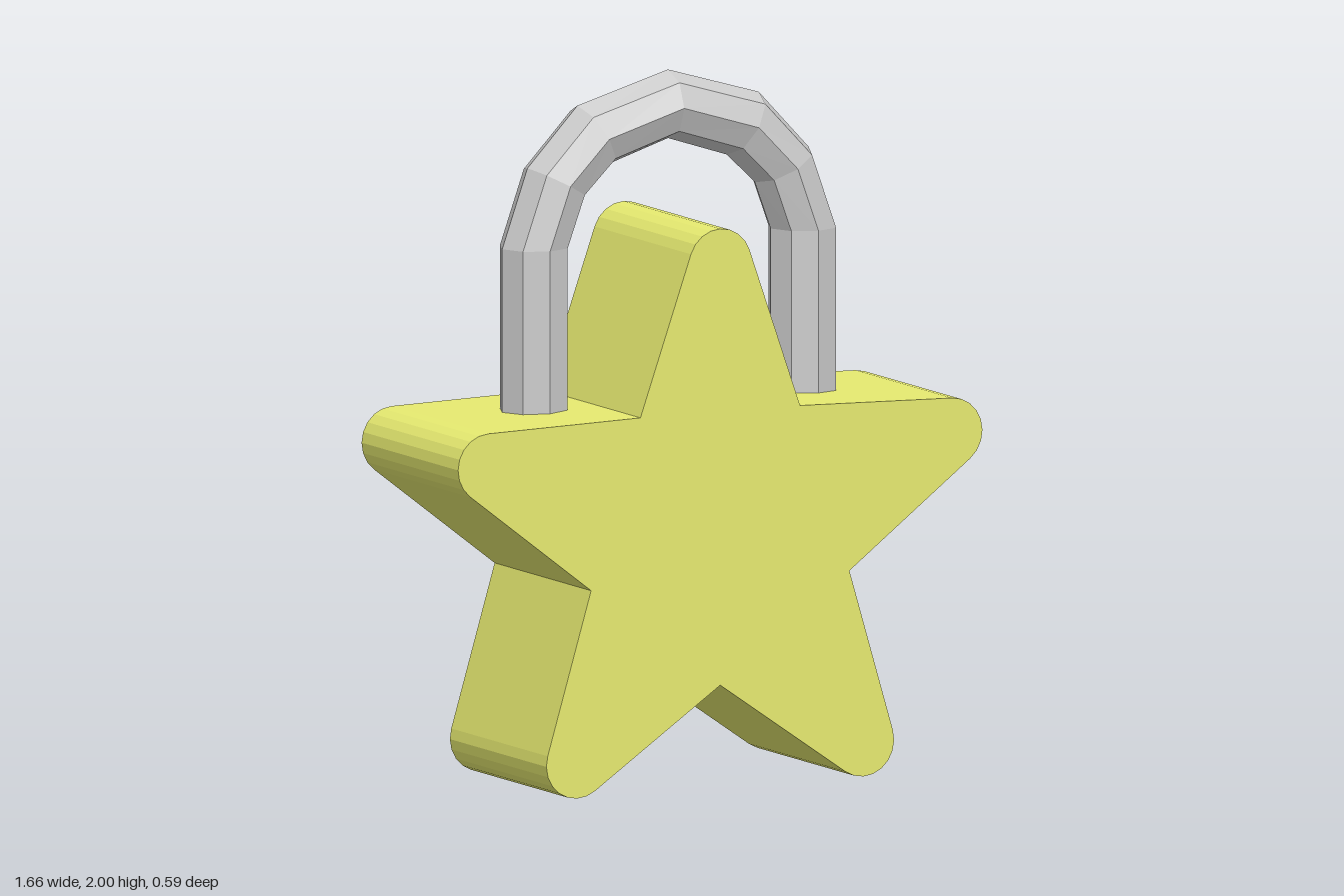
import * as THREE from 'three';

const V2 = (x, y) => new THREE.Vector2(x, y);
const HALF = 0.295; // half thickness of the body
const CY = 0.72;    // height of the star's centre

function material(color) {
  return new THREE.MeshStandardMaterial({ color, flatShading: true });
}

function geometryFrom(positions) {
  const g = new THREE.BufferGeometry();
  g.setAttribute('position', new THREE.Float32BufferAttribute(positions, 3));
  g.computeVertexNormals();
  return g;
}

// Side walls along a closed outline; counter-clockwise outlines face outwards
function wall(points, z0, z1) {
  const pos = [];
  points.forEach((p, i) => {
    const q = points[(i + 1) % points.length];
    pos.push(p.x, p.y, z0, q.x, q.y, z0, q.x, q.y, z1);
    pos.push(p.x, p.y, z0, q.x, q.y, z1, p.x, p.y, z1);
  });
  return geometryFrom(pos);
}

// Five arms with rounded tips and sharp inner corners
function starOutline() {
  const pts = [], tipDist = 0.77, tipR = 0.098, inner = 0.43, steps = 8;
  const sweep = THREE.MathUtils.degToRad(71);
  for (let k = 0; k < 5; k++) {
    const a = Math.PI / 2 + k * Math.PI * 0.4;
    for (let i = 0; i <= steps; i++) {
      const b = a - sweep + (2 * sweep * i) / steps;
      pts.push(V2(Math.cos(a) * tipDist + Math.cos(b) * tipR,
        CY + Math.sin(a) * tipDist + Math.sin(b) * tipR));
    }
    const c = a + Math.PI / 5;
    pts.push(V2(Math.cos(c) * inner, CY + Math.sin(c) * inner));
  }
  return pts;
}

// Octagonal hole with a slot below
function keyholeOutline() {
  const R = 0.145, cy = 0.817, w = 0.046, bottom = 0.5;
  const joint = cy - R * Math.cos(Math.PI / 8);
  const pts = [V2(-w, joint), V2(-w, bottom), V2(w, bottom), V2(w, joint)];
  for (let i = 0; i < 8; i++) {
    const a = -Math.PI * 0.375 + (i * Math.PI) / 4;
    pts.push(V2(Math.cos(a) * R, cy + Math.sin(a) * R));
  }
  return pts;
}

// Octagonal bar swept through pairs of outer and inner points
function shackleGeometry() {
  // outer x, outer y, inner x, inner y
  const half = [
    [0.525, 1.0, 0.325, 1.0],
    [0.525, 1.525, 0.325, 1.525],
    [0.445, 1.75, 0.275, 1.66],
    [0.287, 1.917, 0.187, 1.745],
    [0, 2, 0, 1.805],
  ];
  const stations = [...half, ...half.slice(0, -1).reverse().map(([a, b, c, d]) => [-a, b, -c, d])];
  const rings = stations.map(([ox, oy, ix, iy]) => {
    const ring = [];
    for (let i = 0; i < 8; i++) {
      const a = (i * Math.PI) / 4, t = (1 + Math.cos(a)) / 2;
      ring.push([ix + (ox - ix) * t, iy + (oy - iy) * t, Math.sin(a) * 0.1]);
    }
    return ring;
  });
  const pos = [];
  for (let r = 0; r < rings.length - 1; r++) {
    for (let i = 0; i < 8; i++) {
      const j = (i + 1) % 8;
      const a = rings[r][i], b = rings[r][j], c = rings[r + 1][j], d = rings[r + 1][i];
      pos.push(...a, ...c, ...b, ...a, ...d, ...c);
    }
  }
  return geometryFrom(pos);
}

export function createModel() {
  const model = new THREE.Group();
  model.name = 'padlock';
  const yellow = material(0xe6ea70), brown = material(0x8c5620), grey = material(0xcccccc);
  const add = (parent, name, geometry, mat) => {
    const mesh = new THREE.Mesh(geometry, mat);
    mesh.name = name;
    parent.add(mesh);
    return mesh;
  };

  // Star body: closed front, back pierced by the keyhole
  const body = new THREE.Group();
  body.name = 'starBody';
  const star = starOutline(), hole = keyholeOutline();
  const pierced = new THREE.Shape(star);
  pierced.holes.push(new THREE.Path(hole));
  add(body, 'bodySides', wall(star, -HALF, HALF), yellow);
  add(body, 'bodyFront', new THREE.ShapeGeometry(new THREE.Shape(star)).translate(0, 0, HALF), yellow);
  add(body, 'bodyBack', new THREE.ShapeGeometry(pierced).rotateY(Math.PI).translate(0, 0, -HALF), yellow);

  // Keyhole recess
  const floorZ = 0.12;
  const keyhole = new THREE.Group();
  keyhole.name = 'keyhole';
  add(keyhole, 'keyholeWalls', wall([...hole].reverse(), -HALF, floorZ), brown);
  add(keyhole, 'keyholeFloor',
    new THREE.ShapeGeometry(new THREE.Shape(hole)).rotateY(Math.PI).translate(0, 0, floorZ), brown);

  // Shackle, set slightly behind the middle
  const shackle = add(model, 'shackle', shackleGeometry(), grey);
  shackle.position.set(-0.005, 0, -0.015);

  model.add(body, keyhole);
  return model;
}
